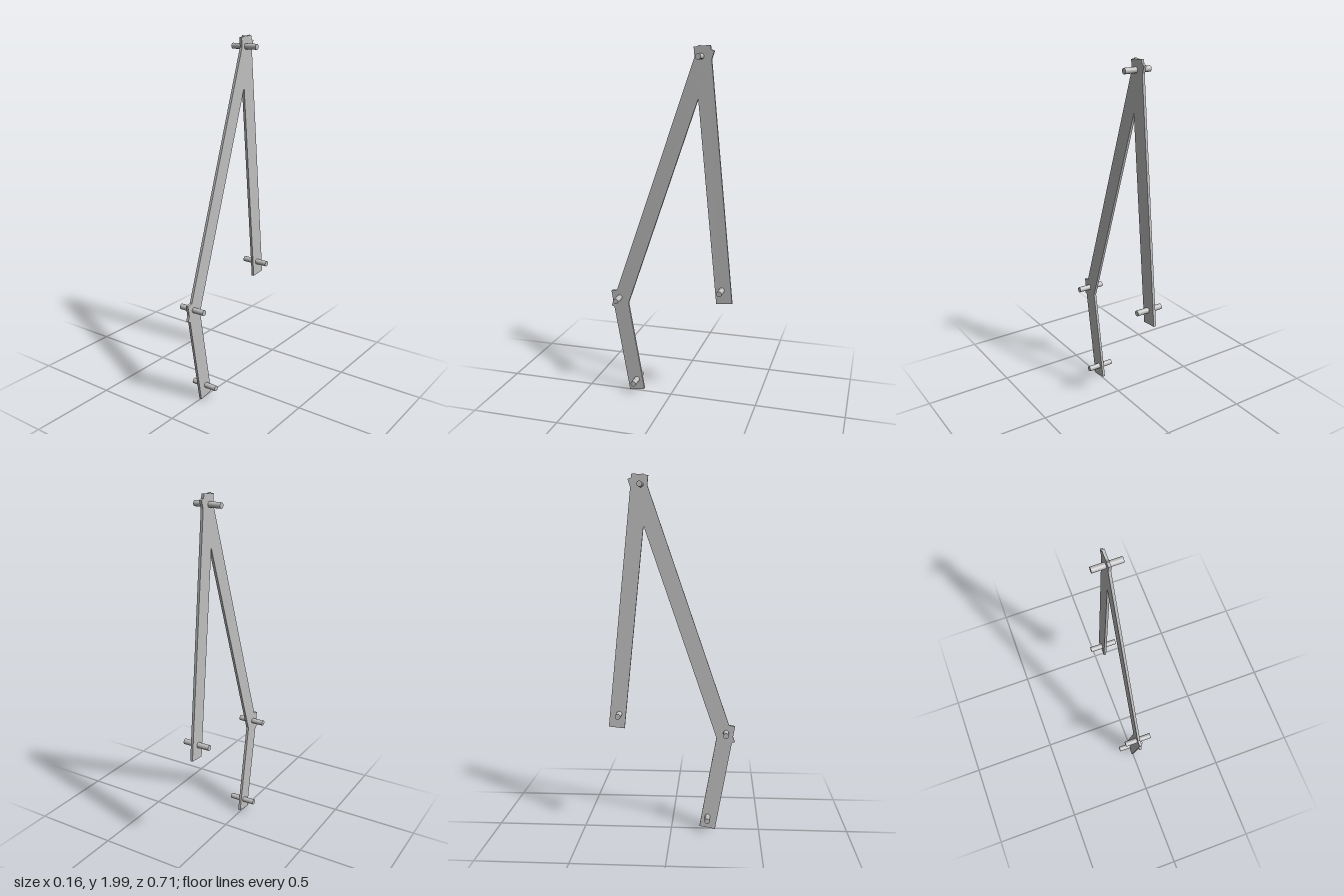
import * as THREE from 'three';

const BAR_WIDTH = 0.09;
const BAR_THICKNESS = 0.0145;
const PIN_RADIUS = 0.0155;
const PIN_LENGTH = 0.156;

export function createModel() {
  const model = new THREE.Group();
  model.name = 'linkage';
  const steel = new THREE.MeshStandardMaterial({ color: 0xbfbfbf });
  steel.name = 'light grey steel';

  // Flat bar whose centre line runs between two [z, y] end points
  function addBar(name, [z0, y0], [z1, y1]) {
    const length = Math.hypot(z1 - z0, y1 - y0);
    const bar = new THREE.Mesh(new THREE.BoxGeometry(BAR_THICKNESS, length, BAR_WIDTH), steel);
    bar.position.set(0, (y0 + y1) / 2, (z0 + z1) / 2);
    bar.rotation.x = Math.atan2(z1 - z0, y1 - y0);
    bar.name = name;
    model.add(bar);
  }

  // Round pivot pin running across the bars
  const pinGeometry = new THREE.CylinderGeometry(PIN_RADIUS, PIN_RADIUS, PIN_LENGTH, 32);
  pinGeometry.rotateZ(Math.PI / 2);
  function addPin(name, [z, y]) {
    const pin = new THREE.Mesh(pinGeometry, steel);
    pin.position.set(0, y, z);
    pin.name = name;
    model.add(pin);
  }

  addBar('rearBar', [-0.31, 0.601], [-0.169, 1.995]);
  addBar('longBar', [0.3145, 0.512], [-0.193, 1.985]);
  addBar('lowerBar', [0.206, 0.016], [0.313, 0.625]);

  addPin('topPin', [-0.165, 1.942]);
  addPin('rearPin', [-0.295, 0.68]);
  addPin('kneePin', [0.307, 0.58]);
  addPin('footPin', [0.207, 0.081]);

  return model;
}
